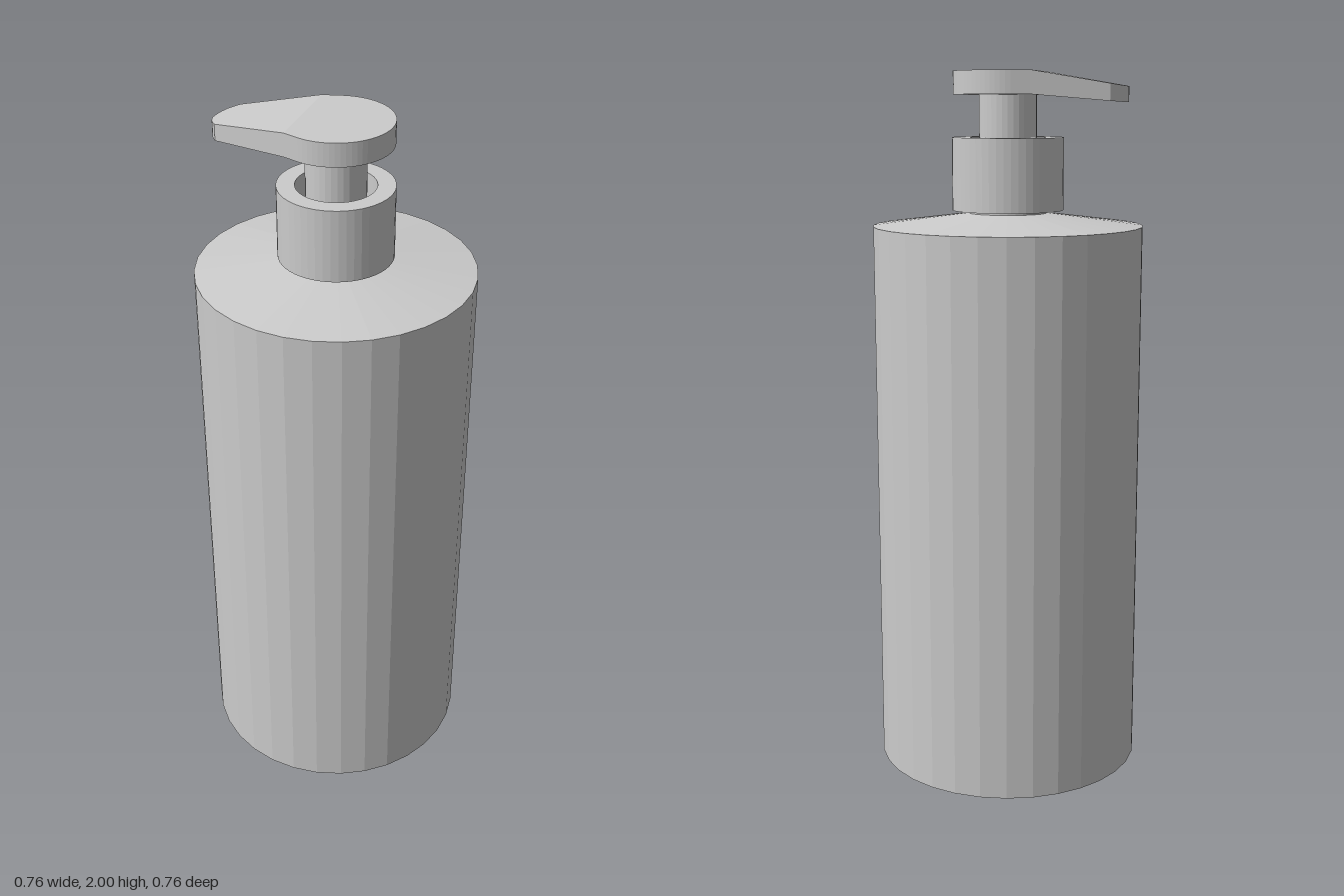
import * as THREE from 'three';

const material = new THREE.MeshStandardMaterial({ color: 0xcccccc, flatShading: true });

function addMesh(group, name, geometry) {
  const mesh = new THREE.Mesh(geometry, material);
  mesh.name = name;
  group.add(mesh);
}

// Turned part from [radius, height] pairs, listed counter-clockwise
function turned(profile, sides) {
  return new THREE.LatheGeometry(profile.map(([r, y]) => new THREE.Vector2(r, y)), sides);
}

// Flat plate from an outline seen from above, raised between two heights
function plate(outline, bottom, top) {
  const geometry = new THREE.ExtrudeGeometry(new THREE.Shape(outline), {
    depth: top - bottom, bevelEnabled: false,
  });
  return geometry.rotateX(-Math.PI / 2).translate(0, bottom, 0);
}

export function createModel() {
  const group = new THREE.Group();

  // Bottle with sloping shoulder and short neck
  addMesh(group, 'bottle', turned(
    [[0, 0], [0.382, 0], [0.382, 1.575], [0.11, 1.61], [0.11, 1.63], [0, 1.63]], 32));

  // Hollow collar around the pump stem
  addMesh(group, 'collar', turned(
    [[0.108, 1.618], [0.157, 1.618], [0.157, 1.82], [0.108, 1.82], [0.108, 1.618]], 48));

  // Pump stem
  const stem = new THREE.CylinderGeometry(0.081, 0.081, 0.33, 32);
  addMesh(group, 'pumpStem', stem.translate(0, 1.785, 0));

  // Round pump head, its sides running straight into the spout
  const bottom = 1.936, top = 2, radius = 0.153, joint = -0.09, tip = -0.338;
  const back = new THREE.Vector2(joint, 0.134);
  const front = new THREE.Vector2(joint, -0.131);
  const start = -1.89, end = 1.82, steps = 40;
  const head = [front];
  for (let i = 0; i <= steps; i++) {
    const a = start + (end - start) * i / steps;
    head.push(new THREE.Vector2(radius * Math.cos(a), radius * Math.sin(a)));
  }
  head.push(back);
  addMesh(group, 'pumpHead', plate(head, bottom, top));

  // Spout: tapers to a rounded tip and slopes down, thinning as it goes
  const tipCurve = new THREE.SplineCurve([
    [-0.298, 0.081], [-0.325, 0.049], [tip, 0.002], [-0.331, -0.032], [-0.311, -0.06],
  ].map(([x, y]) => new THREE.Vector2(x, y)));
  const spout = plate([back, ...tipCurve.getPoints(12), front], bottom, top);
  const p = spout.attributes.position;
  for (let i = 0; i < p.count; i++) {
    const t = (p.getX(i) - joint) / (tip - joint);
    const drop = p.getY(i) > (bottom + top) / 2 ? 0.042 : 0.021;
    p.setY(i, p.getY(i) - drop * t);
  }
  spout.computeVertexNormals();
  addMesh(group, 'spout', spout);

  return group;
}
